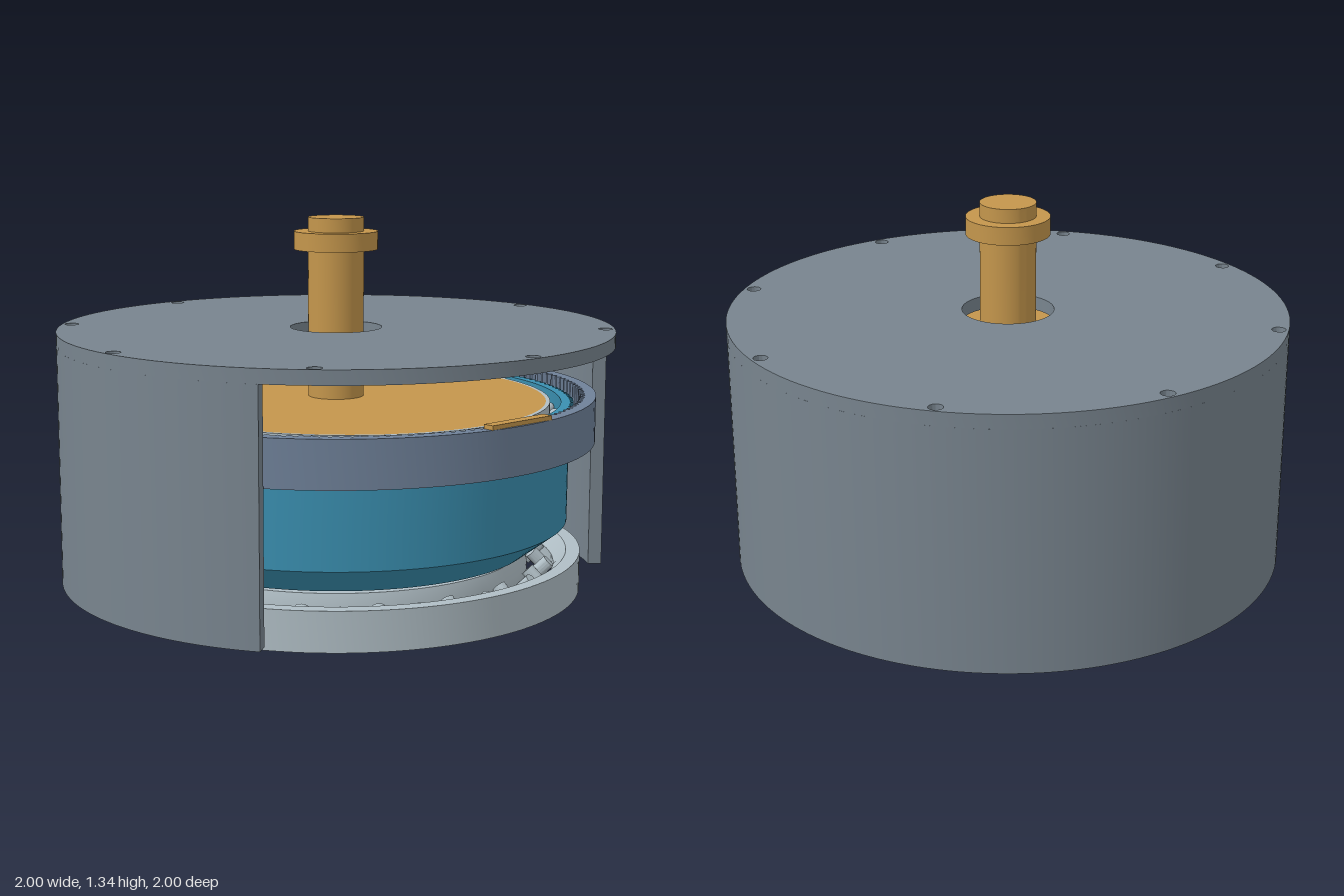
import * as THREE from 'three';
import { toCreasedNormals } from 'three/addons/utils/BufferGeometryUtils.js';

const TAU = Math.PI * 2;
const mat = (color) => new THREE.MeshStandardMaterial({ color });
const housingMat = mat(0x78848e), steelMat = mat(0xb0bec5), ringMat = mat(0x6f8199);
const blueMat = mat(0x3a8fb0), greenMat = mat(0x5a9c88), brassMat = mat(0xc4964c);

function createMesh(name, geo, material, y = 0) {
  const mesh = new THREE.Mesh(geo, material);
  mesh.name = name;
  mesh.position.y = y;
  return mesh;
}

// Closed profile of [radius, y] points, anticlockwise, spun about the y axis
function lathe(profile, segments = 128) {
  const pts = [...profile, profile[0]].map(([r, y]) => new THREE.Vector2(r, y));
  return toCreasedNormals(new THREE.LatheGeometry(pts, segments), 0.4);
}

const tube = (inner, outer, y0, y1) =>
  lathe([[inner, y0], [outer, y0], [outer, y1], [inner, y1]]);

// Plan outline raised from y0 to y1
function slab(shape, y0, y1, crease = 0.4) {
  const geo = new THREE.ExtrudeGeometry(shape, { depth: y1 - y0, bevelEnabled: false, curveSegments: 64 });
  geo.rotateX(-Math.PI / 2).translate(0, y0, 0);
  return toCreasedNormals(geo, crease);
}

function circle(r, x = 0, y = 0, Type = THREE.Path) {
  const path = new Type();
  path.absarc(x, y, r, 0, TAU, false);
  return path;
}

function holeCircle(count, radius, holeRadius) {
  return Array.from({ length: count }, (_, i) => {
    const a = (i / count) * TAU;
    return circle(holeRadius, radius * Math.cos(a), radius * Math.sin(a));
  });
}

// Trapezoid gear outline
function gearPoints(count, root, tip) {
  const pts = [];
  for (let i = 0; i < count; i++) {
    [[0, root], [0.3, root], [0.5, tip], [0.8, tip]].forEach(([f, r]) => {
      const a = ((i + f) / count) * TAU;
      pts.push(new THREE.Vector2(r * Math.cos(a), r * Math.sin(a)));
    });
  }
  return pts;
}

// Stretch along x and squeeze along z by an amount depending on height
function ellipse(geo, amount) {
  const p = geo.attributes.position;
  for (let i = 0; i < p.count; i++) {
    const e = amount(p.getY(i));
    p.setX(i, p.getX(i) * (1 + e));
    p.setZ(i, p.getZ(i) * (1 - e));
  }
  return geo;
}
const flex = (y) => 0.02 * Math.max(0, (y - 0.255) / 0.29);
const oval = () => 0.03;

function createHousing() {
  const group = new THREE.Group();
  group.name = 'housing';
  const cut = (55 / 180) * Math.PI;
  const wall = new THREE.Shape();
  wall.absarc(0, 0, 1, cut, TAU - cut, false);
  wall.absarc(0, 0, 0.95, TAU - cut, cut, true);
  wall.closePath();
  const lid = circle(1, 0, 0, THREE.Shape);
  lid.holes.push(circle(0.165), ...holeCircle(8, 0.965, 0.025));
  group.add(createMesh('housingWall', slab(wall, 0.03, 0.89), housingMat));
  group.add(createMesh('housingLid', slab(lid, 0.89, 0.94), housingMat));
  return group;
}

function createOutputBearing() {
  const group = new THREE.Group();
  group.name = 'outputBearing';
  group.add(createMesh('outerRace',
    lathe([[0.84, 0], [0.89, 0], [0.89, 0.14], [0.84, 0.14], [0.795, 0.09], [0.795, 0.05]]), steelMat));
  group.add(createMesh('innerRace',
    lathe([[0.65, 0], [0.685, 0], [0.7, 0.05], [0.7, 0.09], [0.685, 0.14], [0.65, 0.14]]), steelMat));
  // Rollers crossed alternately
  const rollerGeo = toCreasedNormals(new THREE.CylinderGeometry(0.025, 0.025, 0.085, 16), 0.6);
  const count = 36;
  for (let i = 0; i < count; i++) {
    const pivot = new THREE.Group();
    pivot.name = 'rollerPivot';
    pivot.rotation.y = (i / count) * TAU;
    const roller = createMesh('roller', rollerGeo, steelMat, 0.07);
    roller.position.x = 0.75;
    roller.rotation.z = (i % 2 ? 1 : -1) * Math.PI / 4;
    pivot.add(roller);
    group.add(pivot);
  }
  return group;
}

function createFlexCup() {
  const group = new THREE.Group();
  group.name = 'flexCup';
  const cup = lathe([[0.165, 0.155], [0.71, 0.155], [0.84, 0.255], [0.84, 0.4], [0.84, 0.545],
    [0.84, 0.69], [0.82, 0.69], [0.82, 0.265], [0.7, 0.175], [0.165, 0.175]]);
  group.add(createMesh('cupWall', ellipse(cup, flex), blueMat));
  const teeth = new THREE.Shape(gearPoints(150, 0.838, 0.853));
  teeth.holes.push(circle(0.83));
  group.add(createMesh('cupTeeth', ellipse(slab(teeth, 0.56, 0.69, 0.1), flex), blueMat));
  return group;
}

function createWaveGenerator() {
  const group = new THREE.Group();
  group.name = 'waveGenerator';
  group.add(createMesh('cam', ellipse(lathe([[0, 0.57], [0.755, 0.57], [0.755, 0.69], [0, 0.69]]), oval), brassMat));
  group.add(createMesh('camInnerRace', ellipse(tube(0.755, 0.77, 0.58, 0.69), oval), steelMat));
  group.add(createMesh('camOuterRace', ellipse(tube(0.808, 0.82, 0.58, 0.69), oval), blueMat));
  const ballGeo = new THREE.SphereGeometry(0.019, 12, 8);
  for (let i = 0; i < 40; i++) {
    const a = (i / 40) * TAU;
    const ball = createMesh('ball', ballGeo, steelMat);
    ball.position.set(0.789 * 1.03 * Math.cos(a), 0.635, 0.789 * 0.97 * Math.sin(a));
    group.add(ball);
  }
  // Input shaft with its collar
  group.add(createMesh('inputShaft',
    lathe([[0, 0.56], [0.1, 0.56], [0.1, 1.22], [0.15, 1.22], [0.15, 1.285], [0.1, 1.285], [0.1, 1.335], [0, 1.335]], 64),
    brassMat));
  return group;
}

export function createModel() {
  const model = new THREE.Group();
  model.name = 'strainWaveGear';
  model.add(createHousing(), createOutputBearing(), createFlexCup(), createWaveGenerator());

  // Fixed internally toothed ring
  const ring = circle(0.935, 0, 0, THREE.Shape);
  ring.holes.push(new THREE.Path(gearPoints(152, 0.895, 0.88)));
  model.add(createMesh('toothedRing', slab(ring, 0.545, 0.71, 0.1), ringMat));

  // Output flange with bolt holes
  const flange = circle(0.652, 0, 0, THREE.Shape);
  flange.holes.push(circle(0.165), ...holeCircle(8, 0.505, 0.037));
  model.add(createMesh('outputFlange', slab(flange, 0.015, 0.155), greenMat));

  // Index mark on the ring
  const mark = createMesh('indexMark', new THREE.BoxGeometry(0.04, 0.016, 0.28), brassMat, 0.717);
  mark.position.x = 0.905;
  model.add(mark);
  return model;
}
